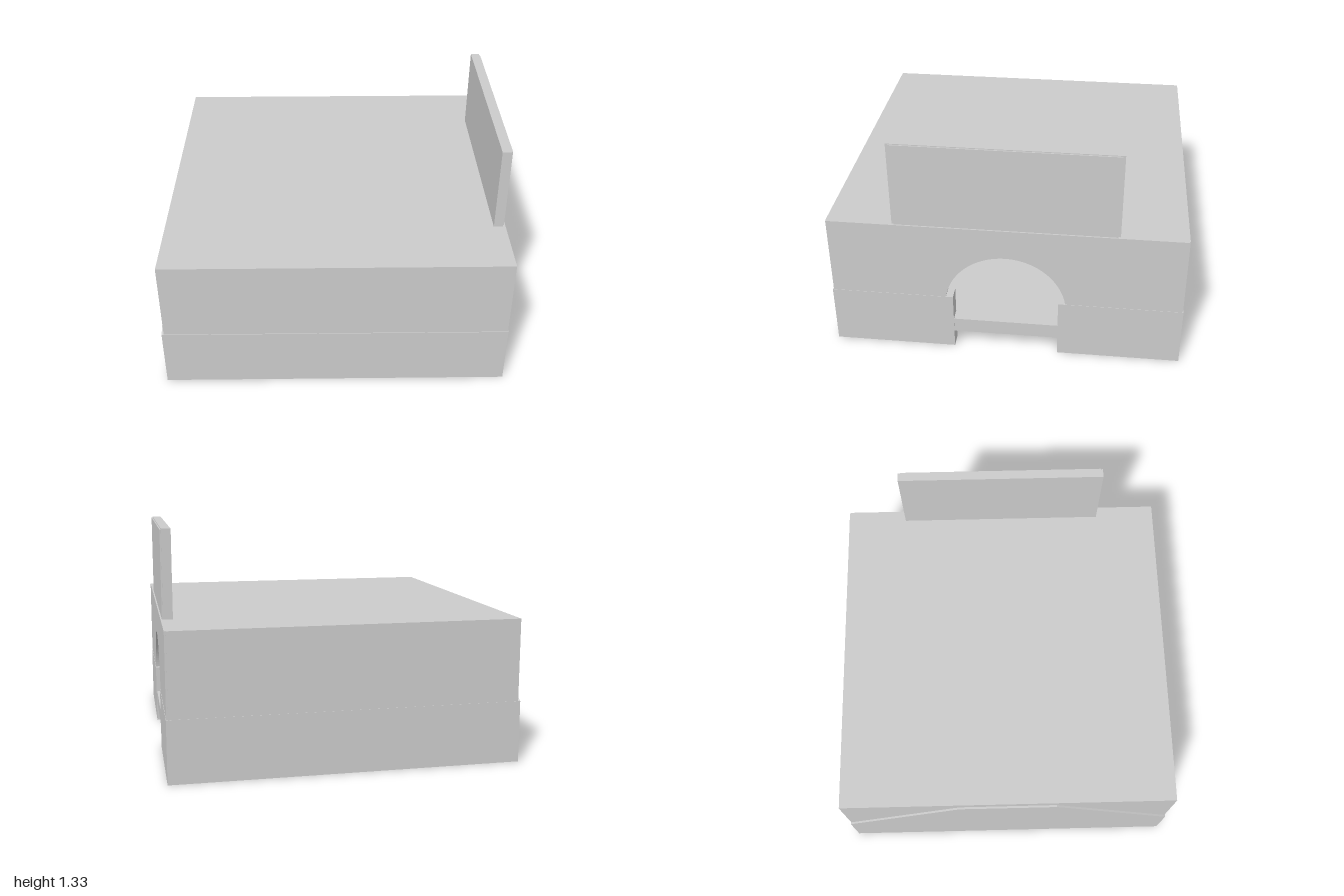
import * as THREE from 'three';

const material = new THREE.MeshStandardMaterial({ color: 0xcccccc, flatShading: true });

export function createModel() {
  const model = new THREE.Group();
  const wall = 0.08, split = 0.354, top = 0.825, floorTop = 0.195;

  const add = (name, geometry) => {
    const mesh = new THREE.Mesh(geometry, material);
    mesh.name = name;
    model.add(mesh);
    return mesh;
  };
  // Box given by its limits on each axis
  const box = (name, x0, x1, y0, y1, z0, z1) =>
    add(name, new THREE.BoxGeometry(x1 - x0, y1 - y0, z1 - z0))
      .position.set((x0 + x1) / 2, (y0 + y1) / 2, (z0 + z1) / 2);
  // Side panel: a z-symmetric outline extruded from x0 to x1
  const sidePanel = (name, shape, x0, x1) => {
    const g = new THREE.ExtrudeGeometry(shape, { depth: x1 - x0, bevelEnabled: false, curveSegments: 32 });
    g.rotateY(Math.PI / 2).translate(x0, 0, 0);
    add(name, g);
  };

  // Plinth walls, with a doorway gap on the left side
  box('lowerFrontWall', -0.99, 0.987, 0, split, 1 - wall, 1);
  box('lowerBackWall', -0.99, 0.987, 0, split, -1, -1 + wall);
  box('lowerRightWall', -0.99, -0.91, 0, split, -1 + wall, 1 - wall);
  for (const s of [-1, 1]) {
    const a = s * 0.3, b = s * (1 - wall);
    box('doorwayWall', 0.907, 0.987, 0, split, Math.min(a, b), Math.max(a, b));
  }

  // Raised floor and the deeper sill in the doorway
  box('floor', -0.91, 0.907, 0.145, floorTop, -1 + wall, 1 - wall);
  box('sill', 0.907, 0.983, 0.107, floorTop, -0.3, 0.3);

  // Upper walls, slightly set back from the plinth
  box('upperFrontWall', -0.978, 0.975, split, top, 0.915, 0.996);
  box('upperBackWall', -0.978, 0.975, split, top, -0.998, -0.92);
  box('upperRightWall', -0.978, -0.9, split, top, -0.92, 0.915);
  box('roof', -0.9, 0.905, 0.75, top, -0.92, 0.915);

  // Upper left wall with the round arch
  const radius = 0.344, centreY = 0.301;
  const spring = Math.asin((split - centreY) / radius);
  const arch = new THREE.Shape();
  arch.moveTo(-0.994, split);
  arch.lineTo(-radius * Math.cos(spring), split);
  arch.absarc(0, centreY, radius, Math.PI - spring, spring, true);
  arch.lineTo(0.994, split);
  arch.lineTo(0.994, top);
  arch.lineTo(-0.994, top);
  arch.closePath();
  sidePanel('archWall', arch, 0.905, 0.985);

  // Sloped panel on the right wall
  const gable = new THREE.Shape();
  gable.moveTo(-1, split);
  gable.lineTo(1, split);
  gable.lineTo(0.29, 0.77);
  gable.lineTo(-0.29, 0.77);
  gable.closePath();
  sidePanel('gablePanel', gable, -0.99, -0.978);

  // Interior counter and the hood above it
  box('counter', -0.9, -0.3, floorTop, 0.315, -0.18, 0.915);
  box('hood', -0.9, -0.3, 0.57, 0.75, -0.18, 0.915);

  // Sign board standing on the roof edge
  box('signBoard', 0.917, 0.97, top, 1.325, -0.628, 0.625);
  box('signFace', 0.97, 0.977, top, 1.32, -0.615, 0.612);

  return model;
}
